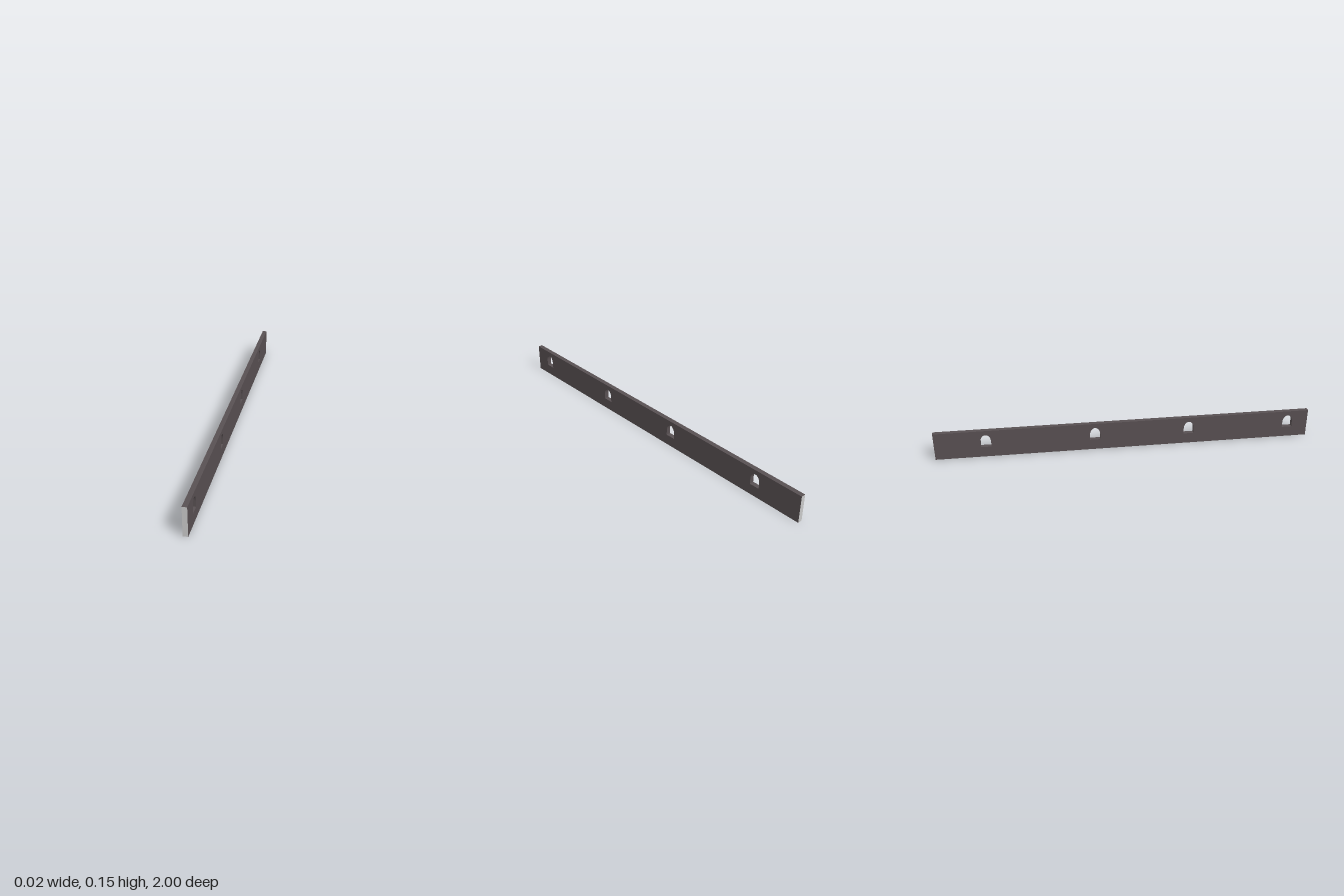
import * as THREE from 'three';

const HEIGHT = 0.15, THICK = 0.024, HALF = 0.9995;

// Arched window opening, centred on z
function archHole(z) {
  const w = 0.027, sill = 0.057, spring = 0.088, rise = 0.038;
  const hole = new THREE.Path();
  hole.moveTo(z - w, sill);
  hole.lineTo(z - w, spring);
  hole.absellipse(z, spring, w, rise, Math.PI, 0, true);
  hole.lineTo(z + w, sill);
  hole.closePath();
  return hole;
}

export function createModel() {
  const stone = new THREE.MeshStandardMaterial({ color: 0x585052 });
  stone.name = 'darkStone';
  const pale = new THREE.MeshStandardMaterial({ color: 0xc8c8c8 });
  pale.name = 'paleGrey';

  const model = new THREE.Group();
  model.name = 'wallSection';

  // Long wall, drawn in the z-y plane and extruded across x
  const outline = new THREE.Shape();
  outline.moveTo(-HALF, 0);
  outline.lineTo(HALF, 0);
  outline.lineTo(HALF, HEIGHT);
  outline.lineTo(-HALF, HEIGHT);
  outline.closePath();
  for (const z of [0.888, 0.34, -0.164, -0.734]) outline.holes.push(archHole(z));

  const geometry = new THREE.ExtrudeGeometry(outline, {
    depth: THICK, bevelEnabled: false, curveSegments: 10,
  });
  geometry.translate(0, 0, -THICK / 2);
  geometry.rotateY(-Math.PI / 2);
  const wall = new THREE.Mesh(geometry, stone);
  wall.name = 'wall';
  model.add(wall);

  // Pale cut faces on both ends
  for (const side of [1, -1]) {
    const end = new THREE.Mesh(new THREE.PlaneGeometry(THICK, HEIGHT), pale);
    end.name = side > 0 ? 'frontEnd' : 'backEnd';
    end.position.set(0, HEIGHT / 2, side);
    if (side < 0) end.rotation.y = Math.PI;
    model.add(end);
  }
  return model;
}
